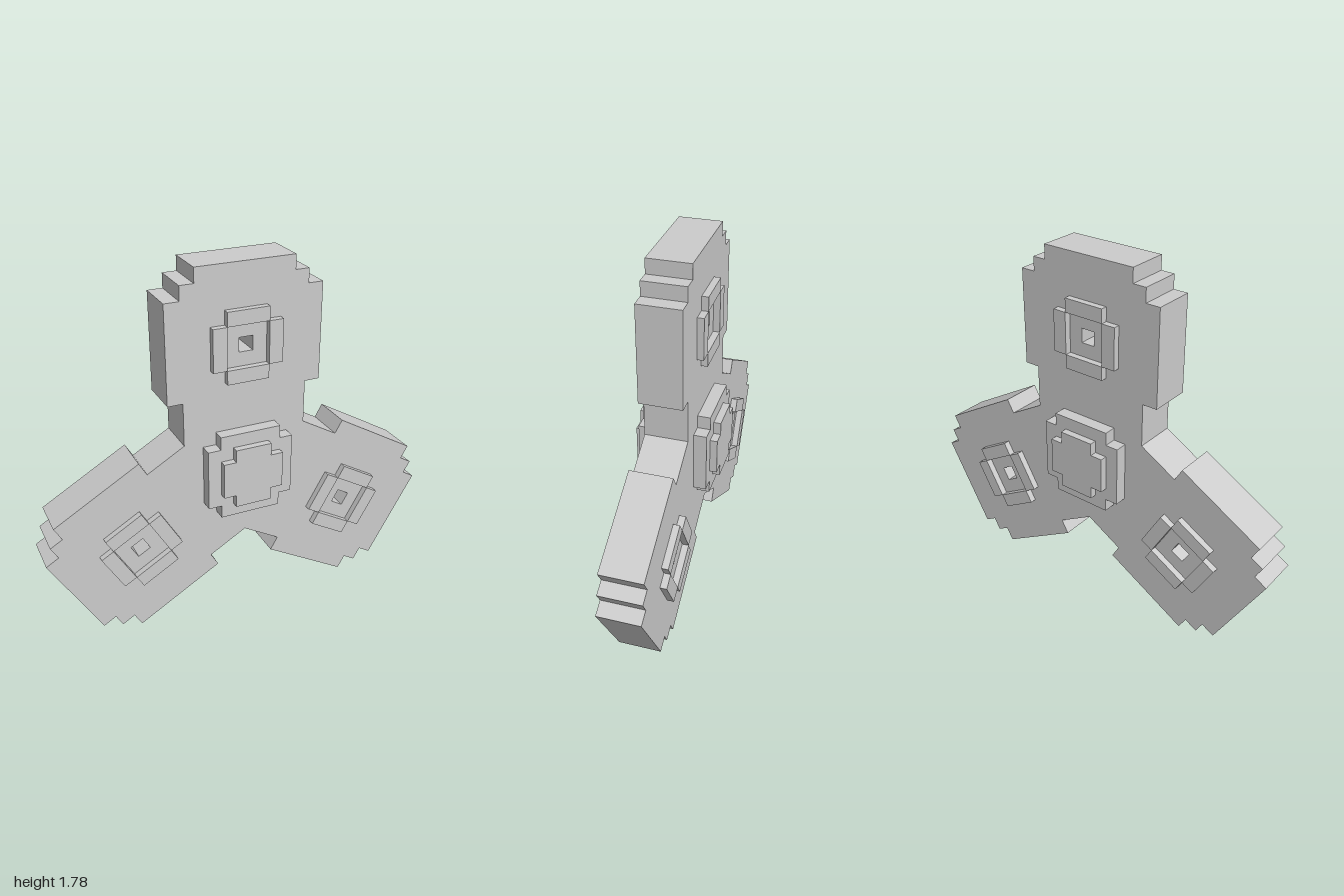
import * as THREE from 'three';

const HUB_Y = 0.77;     // height of the spinner's centre
const ARM = 0.632;      // centre to lobe hole
const BODY = 0.103;     // half thickness of the plate

const material = new THREE.MeshStandardMaterial({ color: 0xcccccc, flatShading: true });

function add(parent, name, geometry, x = 0, y = 0, z = 0) {
  const mesh = new THREE.Mesh(geometry, material);
  mesh.name = name;
  mesh.position.set(x, y, z);
  parent.add(mesh);
  return mesh;
}

// Extrude a shape symmetrically about z = 0
function slab(shape, half) {
  return new THREE.ExtrudeGeometry(shape, { depth: 2 * half, bevelEnabled: false }).translate(0, 0, -half);
}

// Square with stepped corners: a = wide half extent, b = half extent of the flat sides
function steppedSquare(a, b) {
  const pts = [];
  for (let i = 0; i < 4; i++) {
    for (const [x, y] of [[a, -b], [a, b], [b, b]]) {
      pts.push(new THREE.Vector2(x, y).rotateAround(new THREE.Vector2(), i * Math.PI / 2));
    }
  }
  return new THREE.Shape(pts);
}

// Three-lobed plate outline, with a square hole in every lobe
function bodyShape() {
  const half = [[0.31, 0.179], [0.31, 0.393], [0.385, 0.393], [0.385, 0.873],
    [0.312, 0.873], [0.312, 0.943], [0.244, 0.943], [0.244, 1.014]];
  const arm = [...half, ...half.slice(1).reverse().map(([x, y]) => [-x, y])];
  const origin = new THREE.Vector2();
  const outline = [];
  const holes = [];
  for (let i = 0; i < 3; i++) {
    const turn = ([x, y]) => new THREE.Vector2(x, y).rotateAround(origin, i * Math.PI * 2 / 3);
    outline.push(...arm.map(turn));
    const s = 0.035;
    holes.push(new THREE.Path([[-s, ARM - s], [-s, ARM + s], [s, ARM + s], [s, ARM - s]].map(turn)));
  }
  const shape = new THREE.Shape(outline);
  shape.holes.push(...holes);
  return shape;
}

export function createModel() {
  const model = new THREE.Group();
  model.name = 'spinner';
  const spinner = new THREE.Group();
  spinner.name = 'spinnerAssembly';
  spinner.position.y = HUB_Y;
  model.add(spinner);

  add(spinner, 'body', slab(bodyShape(), BODY));

  // Stepped hub caps, front and back
  add(spinner, 'hubBase', slab(steppedSquare(0.217, 0.152), 0.165));
  add(spinner, 'hubCap', slab(steppedSquare(0.152, 0.09), 0.2));

  // Four raised bars around each lobe hole, on both faces
  const barGeometry = new THREE.BoxGeometry(0.208, 0.069, 0.042);
  for (let i = 0; i < 3; i++) {
    const arm = new THREE.Group();
    arm.name = 'lobeRims' + (i + 1);
    arm.rotation.z = i * Math.PI * 2 / 3;
    spinner.add(arm);
    for (const side of [-1, 1]) {
      for (let k = 0; k < 4; k++) {
        const a = k * Math.PI / 2;
        const bar = add(arm, 'rimBar', barGeometry,
          -Math.sin(a) * 0.1385, ARM + Math.cos(a) * 0.1385, side * 0.114);
        bar.rotation.z = a;
      }
    }
  }
  return model;
}
